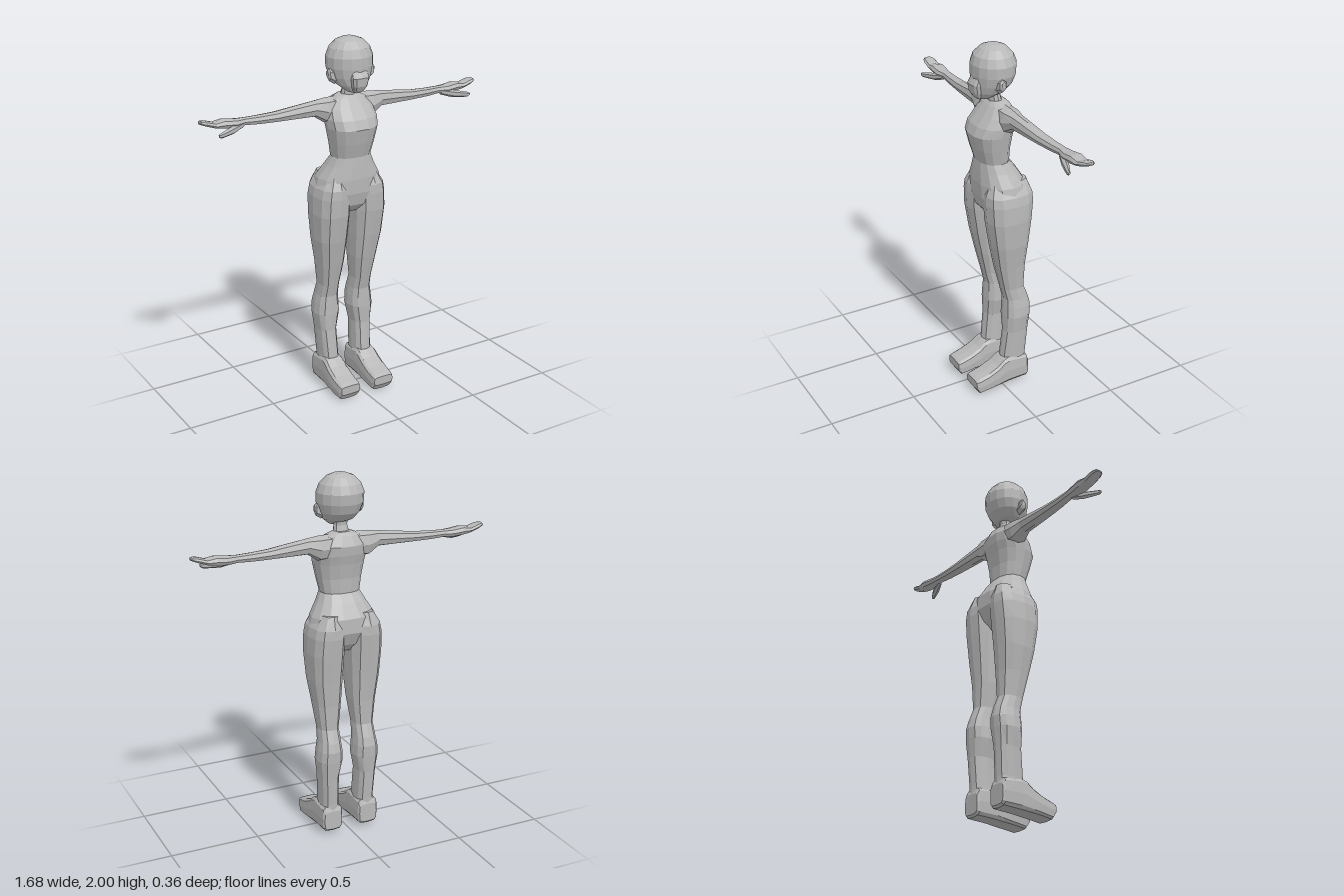
import * as THREE from 'three';

// Maps (along, a, b) to x, y, z for each loft direction
const AXES = {
  x: (t, a, b) => [t, a, b],
  y: (t, a, b) => [a, t, b],
  z: (t, a, b) => [a, b, t],
};

// Lofts rounded cross-sections; each ring is [along, aMin, aMax, bMin, bMax].
// power 1 gives ellipses, smaller values give boxier rings.
function loft(axis, rings, { n = 12, power = 0.85, mirror = 1 } = {}) {
  const pos = [], index = [];
  const bend = v => Math.sign(v) * Math.pow(Math.abs(v), power);
  const put = (t, a, b) => {
    const [x, y, z] = AXES[axis](t, a, b);
    pos.push(x * mirror, y, z);
  };
  for (const [t, a0, a1, b0, b1] of rings) {
    for (let i = 0; i < n; i++) {
      const ang = (i / n) * Math.PI * 2;
      const c = Math.abs(Math.cos(ang)) < 1e-9 ? 0 : Math.cos(ang);
      const s = Math.abs(Math.sin(ang)) < 1e-9 ? 0 : Math.sin(ang);
      put(t, (a0 + a1) / 2 + bend(c) * (a1 - a0) / 2, (b0 + b1) / 2 + bend(s) * (b1 - b0) / 2);
    }
  }
  const last = rings.length - 1;
  for (const k of [0, last]) {
    const [t, a0, a1, b0, b1] = rings[k];
    put(t, (a0 + a1) / 2, (b0 + b1) / 2);
  }
  for (let r = 0; r < last; r++) {
    for (let i = 0; i < n; i++) {
      const j = (i + 1) % n, a = r * n + i, b = r * n + j;
      index.push(a, b, b + n, a, b + n, a + n);
    }
  }
  const c0 = rings.length * n;
  for (let i = 0; i < n; i++) {
    const j = (i + 1) % n;
    index.push(c0, j, i, c0 + 1, last * n + i, last * n + j);
  }
  // Turn the faces outward by checking the enclosed volume
  let volume = 0;
  const p = k => new THREE.Vector3(pos[k * 3], pos[k * 3 + 1], pos[k * 3 + 2]);
  for (let i = 0; i < index.length; i += 3) {
    volume += p(index[i]).dot(p(index[i + 1]).cross(p(index[i + 2])));
  }
  if (volume < 0) index.reverse();
  const g = new THREE.BufferGeometry();
  g.setAttribute('position', new THREE.Float32BufferAttribute(pos, 3));
  g.setIndex(index);
  g.computeVertexNormals();
  return g;
}

// Shorthand for rings symmetric about x = 0: [y, halfWidth, zBack, zFront]
const centred = rows => rows.map(([y, w, z0, z1]) => [y, -w, w, z0, z1]);

export function createModel() {
  const model = new THREE.Group();
  model.name = 'figure';
  const grey = new THREE.MeshStandardMaterial({ color: 0xb8b8b8, flatShading: true });
  grey.name = 'plain grey';
  const add = (name, geometry, parent = model) => {
    const m = new THREE.Mesh(geometry, grey);
    m.name = name;
    parent.add(m);
    return m;
  };

  // Head, face and neck
  add('head', loft('y', centred([
    [2.0, 0.035, -0.05, 0.02], [1.985, 0.075, -0.085, 0.055], [1.95, 0.11, -0.118, 0.09],
    [1.905, 0.128, -0.135, 0.105], [1.85, 0.127, -0.13, 0.105], [1.8, 0.112, -0.11, 0.1],
    [1.76, 0.085, -0.07, 0.095], [1.725, 0.04, 0.0, 0.085],
  ]), { n: 16, power: 1 }));
  add('face', loft('y', centred([
    [1.84, 0.048, 0.04, 0.1], [1.805, 0.052, 0.04, 0.121], [1.76, 0.045, 0.03, 0.115],
    [1.735, 0.034, 0.02, 0.1], [1.72, 0.02, 0.02, 0.08],
  ]), { n: 12, power: 0.6 }));
  add('neck', loft('y', centred([
    [1.8, 0.042, -0.055, 0.02], [1.73, 0.038, -0.05, 0.012], [1.695, 0.045, -0.06, 0.01],
    [1.66, 0.07, -0.08, 0.03],
  ]), { n: 10, power: 1 }));

  // Torso from collar to crotch
  add('torso', loft('y', centred([
    [1.7, 0.05, -0.075, 0.005], [1.68, 0.1, -0.095, 0.025], [1.63, 0.135, -0.12, 0.065],
    [1.58, 0.145, -0.115, 0.105], [1.53, 0.14, -0.102, 0.125], [1.45, 0.125, -0.088, 0.105],
    [1.37, 0.11, -0.085, 0.08], [1.32, 0.135, -0.125, 0.085], [1.25, 0.178, -0.168, 0.09],
    [1.17, 0.2, -0.172, 0.088], [1.1, 0.16, -0.14, 0.07], [1.055, 0.06, -0.1, 0.03],
  ]), { n: 14 }));

  for (const [side, mirror] of [['left', 1], ['right', -1]]) {
    const arm = new THREE.Group(), leg = new THREE.Group();
    arm.name = side + 'Arm';
    leg.name = side + 'Leg';
    model.add(arm, leg);

    // Ear
    add(side + 'Ear', loft('x', [
      [0.1, 1.765, 1.845, -0.02, 0.03], [0.132, 1.785, 1.85, -0.02, 0.025],
      [0.14, 1.805, 1.84, -0.012, 0.012],
    ], { n: 6, power: 1, mirror }));

    // Shoulder, arm and wrist
    add('armLimb', loft('x', [
      [0.05, 1.56, 1.69, -0.1, 0.02], [0.14, 1.555, 1.688, -0.1, 0.02],
      [0.2, 1.594, 1.68, -0.082, 0.003], [0.3, 1.595, 1.668, -0.083, -0.005],
      [0.42, 1.597, 1.652, -0.085, -0.015], [0.52, 1.599, 1.647, -0.086, -0.025],
      [0.61, 1.605, 1.645, -0.088, -0.035],
    ], { n: 8, mirror }), arm);

    // Flat mitten hand
    add('hand', loft('x', [
      [0.59, 1.605, 1.645, -0.086, -0.035], [0.65, 1.6, 1.647, -0.098, -0.02],
      [0.71, 1.605, 1.655, -0.103, -0.02], [0.76, 1.615, 1.645, -0.1, -0.022],
      [0.81, 1.632, 1.66, -0.096, -0.024], [0.835, 1.642, 1.661, -0.085, -0.035],
      [0.842, 1.646, 1.656, -0.072, -0.048],
    ], { n: 8, mirror }), arm);

    // Thumb angled forward and down
    add('thumb', loft('x', [
      [0.61, 1.598, 1.63, -0.06, -0.03], [0.67, 1.58, 1.622, -0.045, -0.005],
      [0.72, 1.577, 1.612, -0.022, 0.01], [0.755, 1.577, 1.605, -0.002, 0.02],
      [0.768, 1.585, 1.6, 0.006, 0.018],
    ], { n: 6, power: 1, mirror }), arm);

    // Thigh, knee and shin
    add('legLimb', loft('y', [
      [1.27, 0.05, 0.15, -0.155, 0.06], [1.2, 0.015, 0.195, -0.18, 0.088],
      [1.15, 0.01, 0.206, -0.182, 0.09], [1.05, 0.012, 0.21, -0.172, 0.085],
      [0.9, 0.02, 0.2, -0.155, 0.06], [0.76, 0.03, 0.178, -0.142, 0.03],
      [0.62, 0.048, 0.16, -0.138, -0.005], [0.55, 0.045, 0.165, -0.165, -0.022],
      [0.5, 0.04, 0.174, -0.178, -0.02], [0.44, 0.037, 0.18, -0.175, -0.018],
      [0.34, 0.058, 0.166, -0.165, -0.02], [0.18, 0.055, 0.158, -0.155, -0.003],
      [0.05, 0.05, 0.165, -0.155, 0.0],
    ], { n: 12, power: 0.8, mirror }), leg);

    // Foot
    add('foot', loft('z', [
      [-0.157, 0.055, 0.16, 0.03, 0.14], [-0.145, 0.048, 0.168, 0.018, 0.17],
      [-0.03, 0.045, 0.17, 0.014, 0.185], [0.0, 0.045, 0.172, 0.012, 0.175],
      [0.04, 0.043, 0.175, 0.01, 0.143], [0.1, 0.042, 0.176, 0.006, 0.114],
      [0.16, 0.043, 0.174, 0.0, 0.096], [0.182, 0.047, 0.168, 0.035, 0.085],
    ], { n: 12, power: 0.45, mirror }), leg);
  }
  return model;
}
